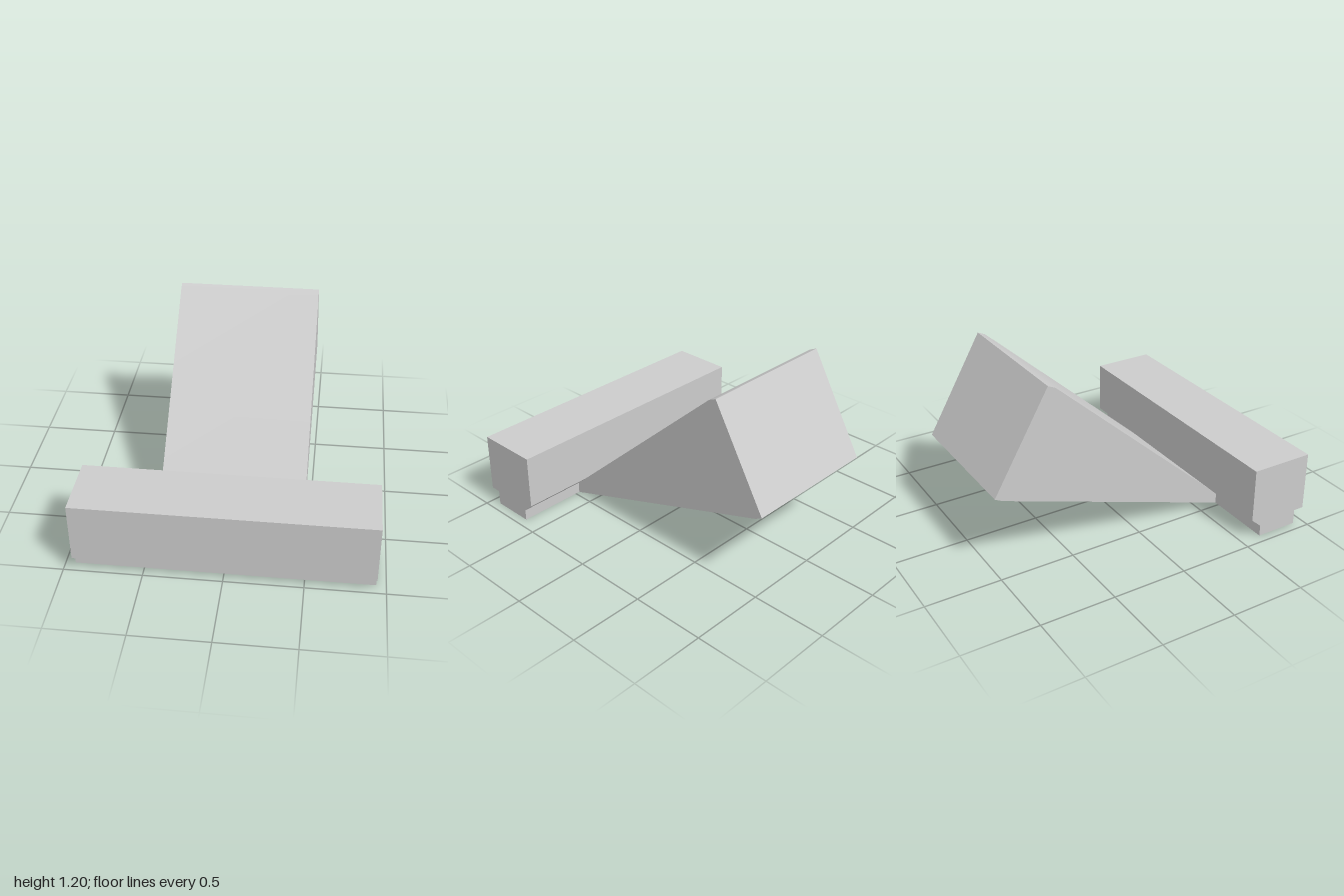
import * as THREE from 'three';
import { toCreasedNormals } from 'three/addons/utils/BufferGeometryUtils.js';

const grey = new THREE.MeshStandardMaterial({ color: 0xcccccc });
grey.name = 'light grey';

// Extrude a side profile of [z, y] points across the full width, centred on x = 0.
function extrudeProfile(name, points, width) {
  const shape = new THREE.Shape(points.map(([z, y]) => new THREE.Vector2(-z, y)));
  const geometry = new THREE.ExtrudeGeometry(shape, { depth: width, bevelEnabled: false });
  geometry.translate(0, 0, -width / 2);
  geometry.rotateY(Math.PI / 2);
  const mesh = new THREE.Mesh(toCreasedNormals(geometry, THREE.MathUtils.degToRad(25)), grey);
  mesh.name = name;
  return mesh;
}

export function createModel() {
  const model = new THREE.Group();
  model.name = 'wedgeWithCrossbar';

  // Wide bar with a stepped front foot and a chamfered rear underside
  model.add(extrudeProfile('crossbar', [
    [0.93, 0], [0.645, 0], [0.645, 0.075], [0.575, 0.138],
    [0.575, 0.5], [1, 0.5], [1, 0.1], [0.93, 0.1],
  ], 1.876));

  // Rising wedge with slightly eased edges at its tall end
  model.add(extrudeProfile('wedge', [
    [0.645, 0], [-0.95, 0.53], [-1, 0.556],
    [-0.63, 1.198], [-0.58, 1.175], [0.645, 0.075],
  ], 0.938));

  return model;
}
